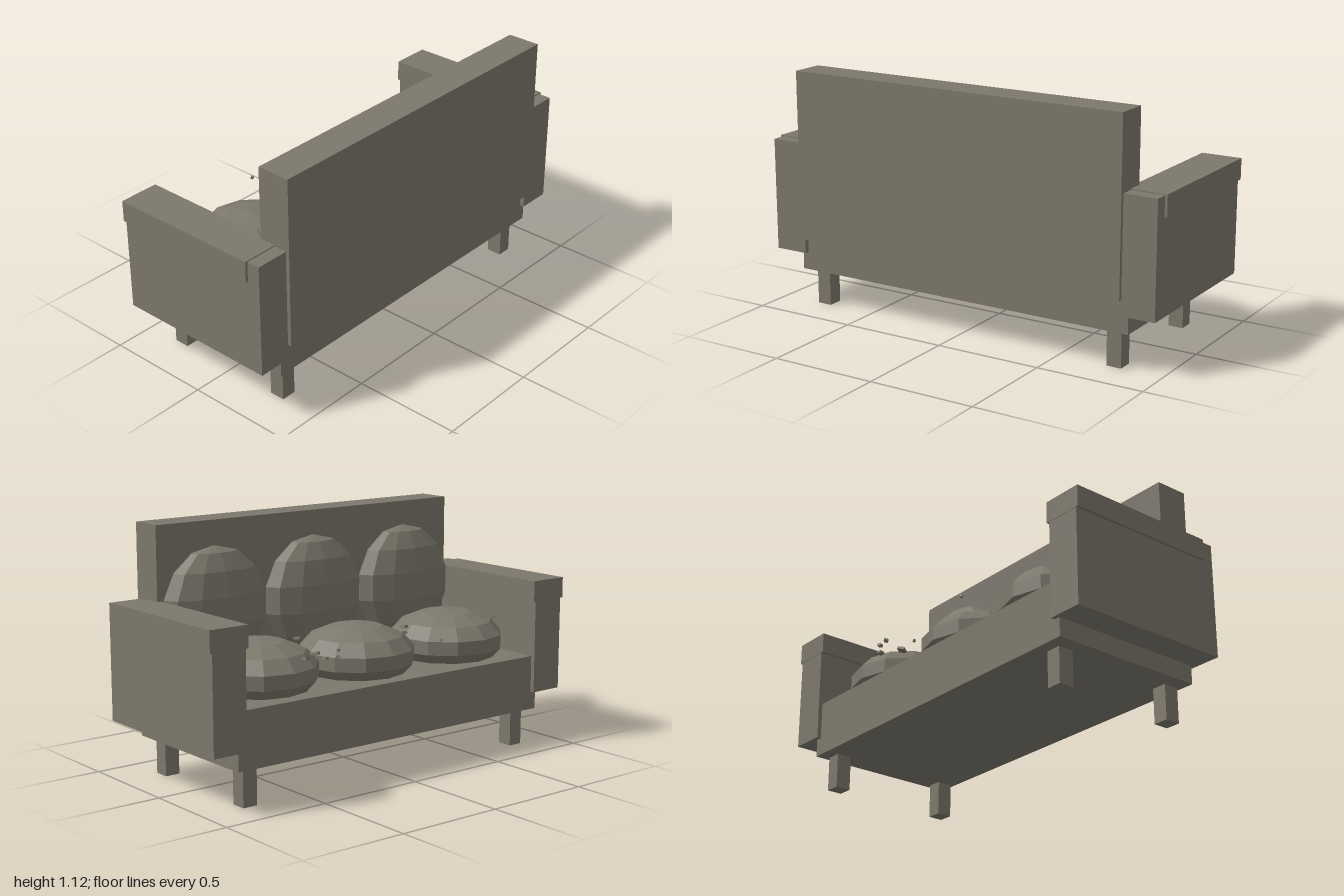
import * as THREE from 'three';

export function createModel() {
  const sofa = new THREE.Group();
  sofa.name = 'sofa';

  const fabric = new THREE.MeshStandardMaterial({ color: 0x7d786c, flatShading: true });
  fabric.name = 'warm grey';

  // Box given by its lower and upper limits on each axis
  function box(name, [x0, x1], [y0, y1], [z0, z1]) {
    const mesh = new THREE.Mesh(new THREE.BoxGeometry(x1 - x0, y1 - y0, z1 - z0), fabric);
    mesh.position.set((x0 + x1) / 2, (y0 + y1) / 2, (z0 + z1) / 2);
    mesh.name = name;
    sofa.add(mesh);
    return mesh;
  }

  // Faceted, squashed ball used for all cushions
  const ball = new THREE.SphereGeometry(1, 12, 7);
  function cushion(name, x, y, z, rx, ry, rz) {
    const mesh = new THREE.Mesh(ball, fabric);
    mesh.position.set(x, y, z);
    mesh.scale.set(rx, ry, rz);
    mesh.name = name;
    sofa.add(mesh);
  }

  // Seat base and backrest
  box('seatBase', [-0.855, 0.855], [0.172, 0.428], [-0.38, 0.362]);
  box('backrest', [-0.832, 0.832], [0.328, 1.12], [0.245, 0.402]);

  // Arms with overhanging pads, and legs, mirrored on both sides
  for (const side of [-1, 1]) {
    const span = (a, b) => (side > 0 ? [a, b] : [-b, -a]);
    const label = side > 0 ? 'left' : 'right';
    box(label + 'Arm', span(0.825, 0.988), [0.256, 0.782], [-0.4, 0.384]);
    box(label + 'ArmPad', span(0.812, 1.0), [0.69, 0.787], [-0.402, 0.322]);
    box(label + 'FrontLeg', span(0.735, 0.805), [0, 0.16], [-0.34, -0.268]);
    box(label + 'BackLeg', span(0.735, 0.805), [0, 0.16], [0.25, 0.322]);
  }

  // Three seat cushions and three back cushions
  for (const x of [-0.545, 0, 0.545]) {
    cushion('seatCushion', x, 0.505, -0.09, 0.273, 0.143, 0.273);
    cushion('backCushion', x, 0.73, 0.225, 0.273, 0.28, 0.116);
  }

  // Crumbs scattered across the seat: x, z, size, turn
  const crumbs = [
    [-0.785, -0.145, 0.03, 0.7], [-0.31, -0.06, 0.03, 0.4],
    [-0.24, 0.1, 0.03, 0.8], [-0.22, -0.165, 0.024, 1.2],
    [0.23, 0.04, 0.03, 0.5], [0.32, 0.14, 0.02, 0.2],
    [0.365, -0.26, 0.034, 0.6], [0.25, -0.275, 0.01, 0],
    [0.33, -0.375, 0.018, 0.9], [0.39, -0.365, 0.018, 0.3],
    [0.455, -0.315, 0.024, 0.1], [-0.24, -0.39, 0.012, 0.5],
  ];
  for (const [x, z, s, turn] of crumbs) {
    const crumb = box('crumb', [x - s / 2, x + s / 2], [0.577, 0.589], [z - s / 2, z + s / 2]);
    crumb.rotation.set(0.2, turn, 0.1);
  }

  return sofa;
}
